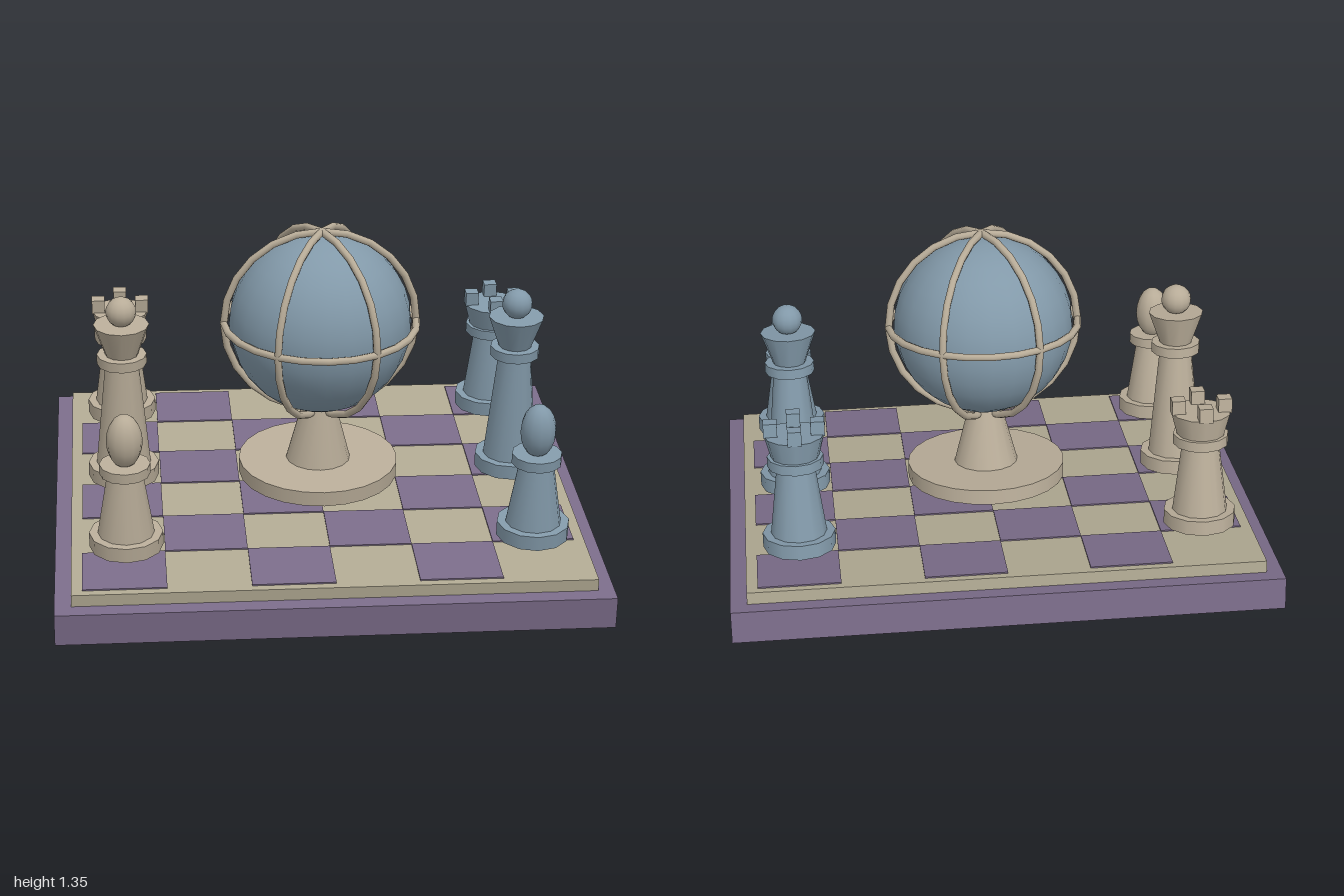
import * as THREE from 'three';

const mat = (name, color) => Object.assign(new THREE.MeshStandardMaterial({ color }), { name });

export function createModel() {
  const purple = mat('purple wood', 0x7a6b88);
  const boardTan = mat('board tan', 0xb0a992);
  const cream = mat('cream', 0xb8ac98);
  const blue = mat('slate blue', 0x8299a9);

  const model = new THREE.Group();
  model.name = 'chessSet';
  const tilted = new THREE.Group();
  tilted.name = 'tiltedBoard';
  tilted.rotation.x = 0.18;
  tilted.position.set(0, 0.157, -0.011);
  model.add(tilted);

  const add = (parent, name, geo, material, x = 0, y = 0, z = 0) => {
    const m = new THREE.Mesh(geo, material);
    m.name = name;
    m.position.set(x, y, z);
    parent.add(m);
    return m;
  };
  // upright round section from height y0 to y1
  const turned = (parent, name, material, y0, y1, r0, r1, sides = 12) =>
    add(parent, name, new THREE.CylinderGeometry(r1, r0, y1 - y0, sides), material, 0, (y0 + y1) / 2, 0);

  // board: slab, raised playing field and dark squares
  add(tilted, 'slab', new THREE.BoxGeometry(2, 0.12, 1.758), purple, 0, 0.06, 0);
  add(tilted, 'playingField', new THREE.BoxGeometry(1.88, 0.045, 1.638), boardTan, 0, 0.1425, 0);
  const pitchX = 0.3, pitchZ = 0.263;
  const square = new THREE.BoxGeometry(pitchX, 0.006, pitchZ);
  for (let row = 0; row < 6; row++) {
    for (let col = 0; col < 6; col++) {
      if ((row + col) % 2 === 0) continue;
      add(tilted, 'darkSquare', square, purple, (col - 2.5) * pitchX, 0.167, (row - 2.5) * pitchZ);
    }
  }

  // everything on the board rests at this height
  const top = 0.212;

  // globe on a stand
  const globe = new THREE.Group();
  globe.name = 'globe';
  globe.position.y = top;
  tilted.add(globe);
  turned(globe, 'standBase', cream, 0, 0.057, 0.302, 0.302, 24);
  turned(globe, 'standNeck', cream, 0.057, 0.3, 0.122, 0.058, 16);
  add(globe, 'sphere', new THREE.SphereGeometry(0.34, 24, 16), blue, 0, 0.62, 0);
  const ring = new THREE.TorusGeometry(0.36, 0.014, 8, 24);
  add(globe, 'equatorRing', ring, cream, 0, 0.62, 0).rotation.x = Math.PI / 2;
  for (let i = 0; i < 3; i++) {
    add(globe, 'meridianRing', ring, cream, 0, 0.62, 0).rotation.y = (i * Math.PI) / 3;
  }

  // shared lower half of each piece: foot, tapering body and collar
  const piece = (name, material, x, z, collarY, bodyTop, collarR) => {
    const g = new THREE.Group();
    g.name = name;
    g.position.set(x, top, z);
    tilted.add(g);
    turned(g, 'foot', material, 0, 0.055, 0.133, 0.133);
    turned(g, 'body', material, 0.055, collarY, 0.102, bodyTop);
    turned(g, 'collar', material, collarY - 0.019, collarY + 0.019, collarR, collarR);
    return g;
  };

  for (const [x, material] of [[-0.74, cream], [0.74, blue]]) {
    // pawn with a tall oval head
    const pawn = piece('pawn', material, x, 0.55, 0.312, 0.06, 0.091);
    add(pawn, 'head', new THREE.SphereGeometry(0.065, 12, 10), material, 0, 0.42, 0).scale.y = 1.57;

    // king with a flared crown and ball
    const king = piece('king', material, x, 0, 0.486, 0.06, 0.093);
    turned(king, 'crown', material, 0.5, 0.625, 0.06, 0.104);
    add(king, 'ball', new THREE.SphereGeometry(0.057, 14, 10), material, 0, 0.675, 0);

    // rook with a battlemented top
    const rook = piece('rook', material, x, -0.545, 0.338, 0.066, 0.102);
    turned(rook, 'tower', material, 0.357, 0.442, 0.088, 0.11);
    for (let i = 0; i < 4; i++) {
      const a = (i * Math.PI) / 2;
      add(rook, 'battlement', new THREE.BoxGeometry(0.05, 0.055, 0.05), material,
        Math.sin(a) * 0.085, 0.465, Math.cos(a) * 0.085);
    }
  }
  return model;
}
